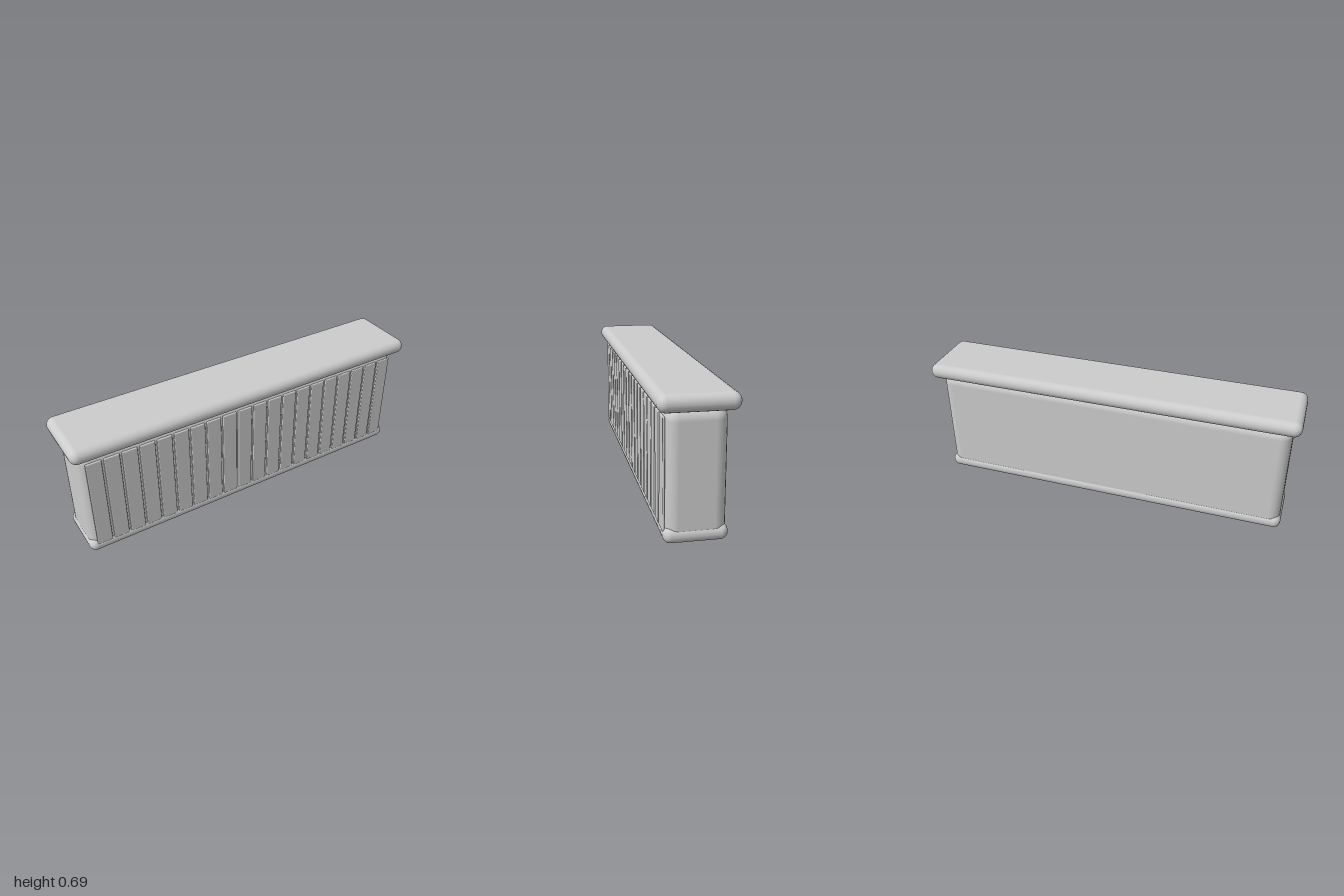
import * as THREE from 'three';
import { RoundedBoxGeometry } from 'three/addons/geometries/RoundedBoxGeometry.js';

export function createModel() {
  const model = new THREE.Group();
  model.name = 'counter';
  const grey = new THREE.MeshStandardMaterial({ color: 0xcccccc });
  grey.name = 'lightGrey';

  // Rounded block placed by its bottom height
  function block(name, w, h, d, radius, x, bottom, z, segments = 3) {
    const mesh = new THREE.Mesh(new RoundedBoxGeometry(w, h, d, segments, radius), grey);
    mesh.name = name;
    mesh.position.set(x, bottom + h / 2, z);
    model.add(mesh);
    return mesh;
  }

  block('body', 1.914, 0.618, 0.28, 0.058, -0.003, 0, 0);
  block('baseTrim', 1.928, 0.076, 0.296, 0.037, -0.003, 0.004, 0.001);
  block('counterTop', 2, 0.082, 0.366, 0.0405, 0, 0.605, 0);

  // Vertical front slats
  const slats = 20, pitch = 0.0932;
  for (let i = 0; i < slats; i++) {
    const x = -0.003 + (i - (slats - 1) / 2) * pitch;
    block('frontSlat' + (i + 1), 0.082, 0.52, 0.012, 0.005, x, 0.057, 0.143, 2);
  }
  return model;
}
